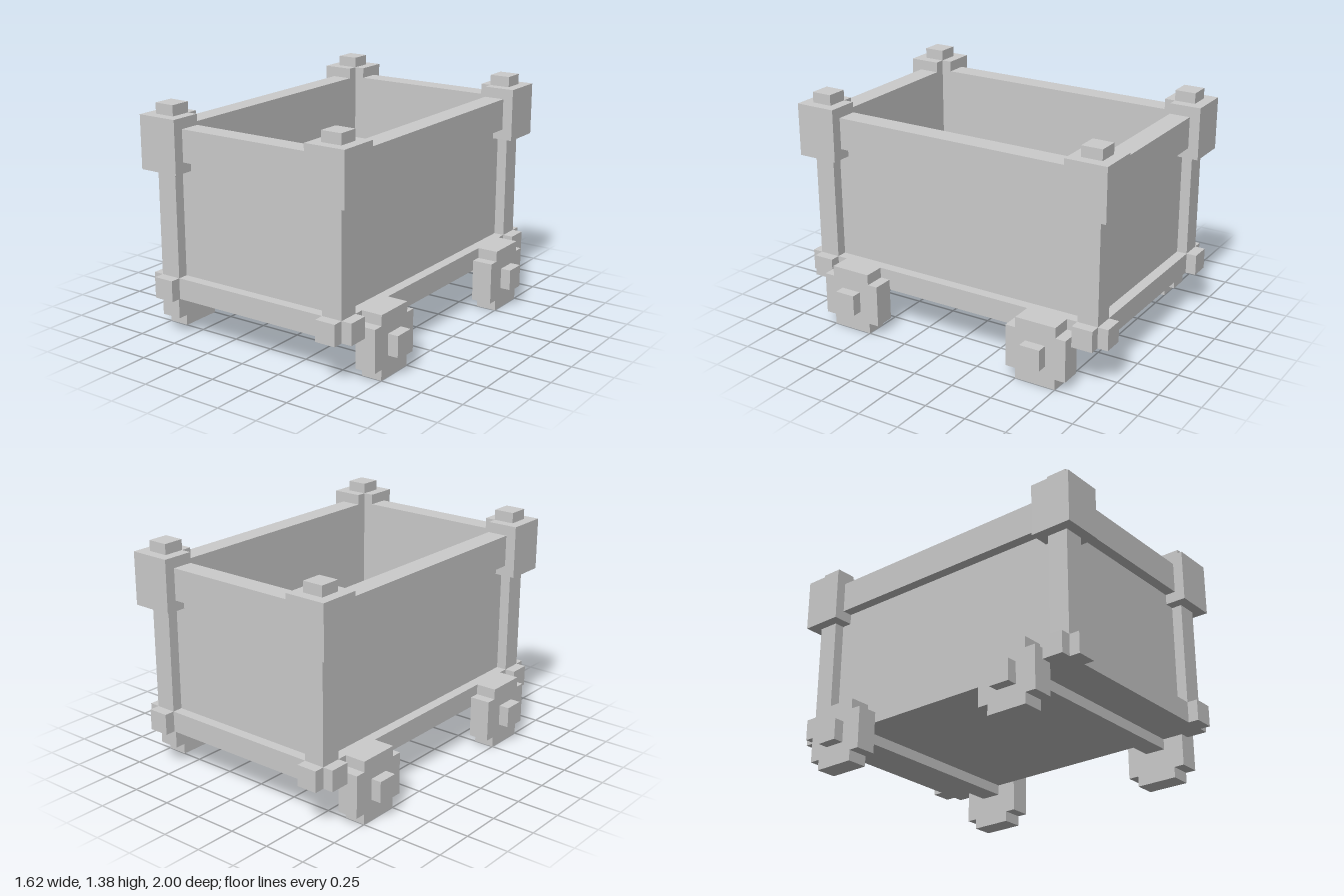
import * as THREE from 'three';

const U = 1 / 16; // block unit
const material = new THREE.MeshStandardMaterial({ color: 0xcccccc, flatShading: true });

// Box from its minimum and maximum corners, in block units
function box(parent, name, [x0, y0, z0], [x1, y1, z1]) {
  const geometry = new THREE.BoxGeometry((x1 - x0) * U, (y1 - y0) * U, (z1 - z0) * U);
  geometry.translate((x0 + x1) / 2 * U, (y0 + y1) / 2 * U, (z0 + z1) / 2 * U);
  const mesh = new THREE.Mesh(geometry, material);
  mesh.name = name;
  parent.add(mesh);
}

// Extruded outline of [a, b] points in block units
function prism(outline, depth) {
  const shape = new THREE.Shape(outline.map(([a, b]) => new THREE.Vector2(a * U, b * U)));
  return new THREE.ExtrudeGeometry(shape, { depth: depth * U, bevelEnabled: false });
}

export function createModel() {
  const cart = new THREE.Group();
  cart.name = 'cart';

  box(cart, 'floor', [-8, 4, -13], [8, 5, 13]);

  // L-shaped cap plan, open toward the inside corner (shape y becomes -z)
  const capGeometry = prism([[7, -16], [11, -16], [11, -12], [8, -12], [8, -13], [7, -13]], 5);
  capGeometry.rotateX(-Math.PI / 2).translate(0, 16 * U, 0);

  // Stepped wheel outline, turned to face sideways
  const wheelGeometry = prism([
    [-2, -3], [2, -3], [2, -2], [3, -2], [3, 2], [2, 2],
    [2, 3], [-2, 3], [-2, 2], [-3, 2], [-3, -2], [-2, -2]], 2);
  wheelGeometry.rotateY(Math.PI / 2).translate(10 * U, 3 * U, 10 * U);

  for (const s of [-1, 1]) {
    // Box mirrored by side: s flips x (long sides) or z (ends)
    const side = (name, [x0, y0, z0], [x1, y1, z1]) => s > 0
      ? box(cart, name, [x0, y0, z0], [x1, y1, z1])
      : box(cart, name, [-x1, y0, z0], [-x0, y1, z1]);
    const end = (name, [x0, y0, z0], [x1, y1, z1]) => s > 0
      ? box(cart, name, [x0, y0, z0], [x1, y1, z1])
      : box(cart, name, [x0, y0, -z1], [x1, y1, -z0]);

    // Long sides
    side('sidePanel', [8, 6, -13], [9, 17, 13]);
    side('sideTopRail', [8, 17, -12], [10, 20, 12]);
    side('sideBottomRail', [8, 4, -13], [10, 6, 13]);

    // Ends
    end('endPanel', [-8, 6, 13], [8, 17, 14]);
    end('endTopRail', [-7, 17, 13], [7, 20, 15]);
    end('endBottomRail', [-8, 4, 13], [8, 6, 15]);
    end('axle', [-10, 3, 9], [10, 4, 11]);
  }

  // Four corners, each the same set of parts turned or mirrored into place
  for (const sx of [-1, 1]) {
    for (const sz of [-1, 1]) {
      const corner = new THREE.Group();
      corner.name = 'corner';
      corner.scale.set(sx, 1, sz);
      cart.add(corner);

      box(corner, 'post', [8, 4, 13], [10, 16, 15]);
      box(corner, 'postKnob', [8, 21, 13], [10, 22, 15]);
      box(corner, 'endFootBlock', [8, 4, 15], [10, 6, 16]);
      box(corner, 'sideFootBlock', [10, 4, 13], [11, 6, 15]);

      const cap = new THREE.Mesh(capGeometry, material);
      cap.name = 'cornerCap';
      const wheel = new THREE.Mesh(wheelGeometry, material);
      wheel.name = 'wheel';
      corner.add(cap, wheel);
      box(corner, 'wheelHub', [12, 2, 9], [13, 4, 11]);
    }
  }
  return cart;
}
